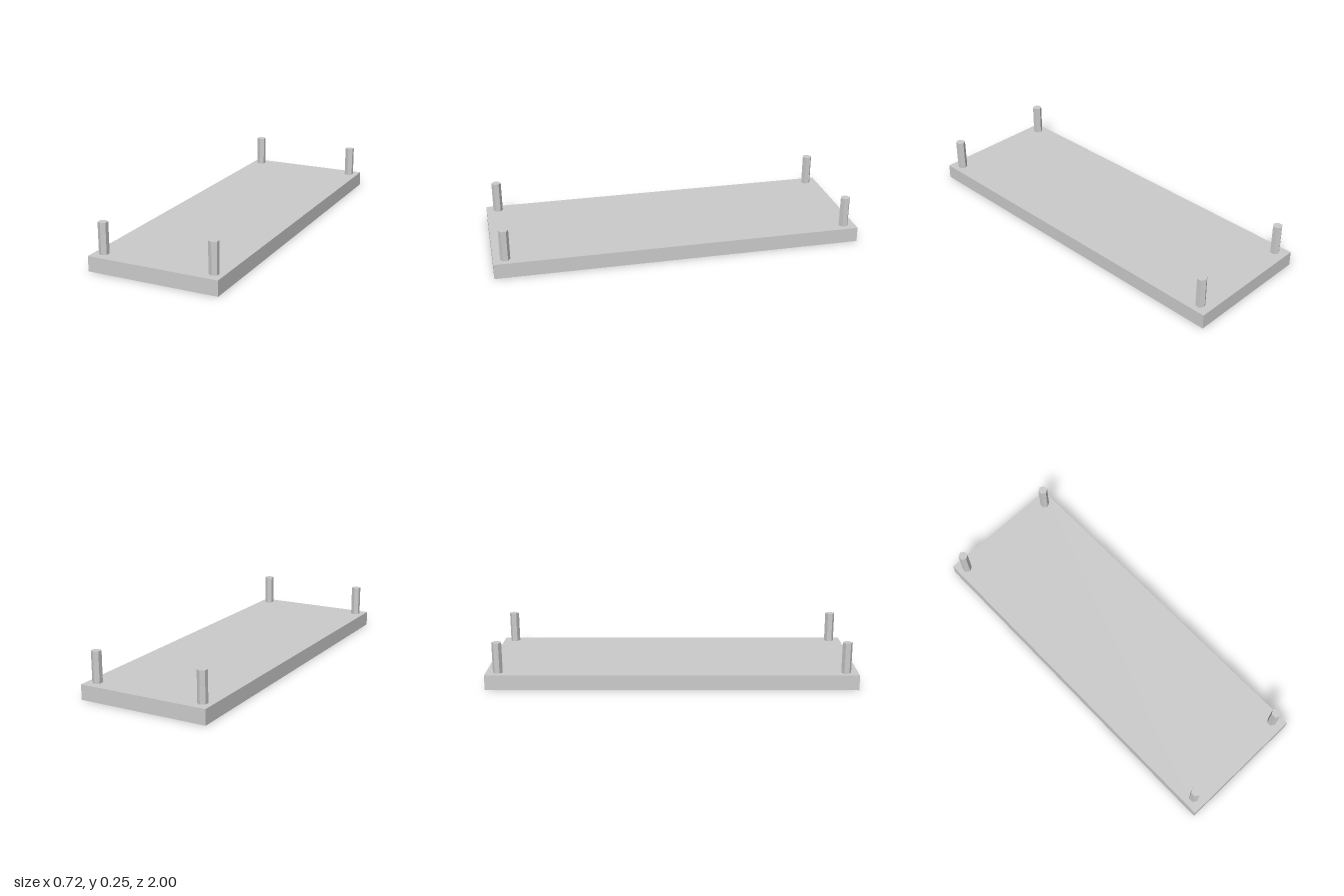
import * as THREE from 'three';

export function createModel() {
  const model = new THREE.Group();
  const material = new THREE.MeshStandardMaterial({ color: 0xcccccc, flatShading: true });
  const boardHeight = 0.082, totalHeight = 0.25;

  // Flat rectangular board
  const board = new THREE.Mesh(new THREE.BoxGeometry(0.722, boardHeight, 2), material);
  board.name = 'board';
  board.position.y = boardHeight / 2;
  model.add(board);

  // Hexagonal post standing near each corner, points facing front and back
  const postHeight = totalHeight - boardHeight;
  const postGeometry = new THREE.CylinderGeometry(0.0265, 0.0265, postHeight, 6);
  for (const [sx, side] of [[1, 'Left'], [-1, 'Right']]) {
    for (const [sz, end] of [[1, 'front'], [-1, 'back']]) {
      const post = new THREE.Mesh(postGeometry, material);
      post.name = `${end}${side}Post`;
      post.position.set(sx * 0.307, boardHeight + postHeight / 2, sz * 0.935);
      model.add(post);
    }
  }
  return model;
}
